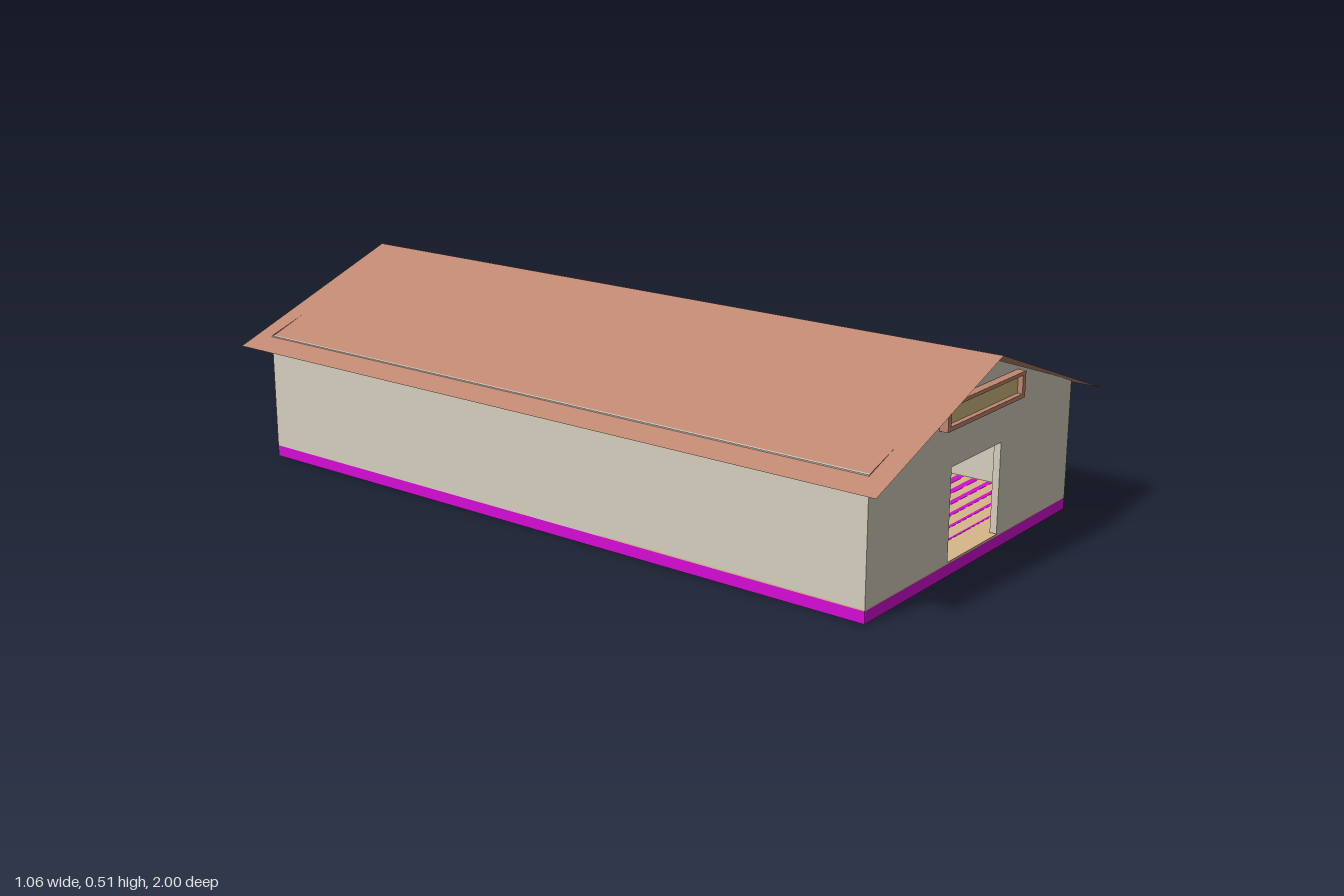
import * as THREE from 'three';

const material = (name, color, side = THREE.FrontSide) => {
  const m = new THREE.MeshStandardMaterial({ color, side });
  m.name = name;
  return m;
};

export function createModel() {
  const group = new THREE.Group();
  const cream = material('cream wall', 0xd6cfbf, THREE.DoubleSide);
  const brick = material('brick roof', 0xc08771, THREE.DoubleSide);
  const magenta = material('magenta base', 0xd60cd6);
  const tan = material('tan floor', 0xd8b78a);
  const yellow = material('yellow vent', 0xd2bf82);

  const add = (name, geometry, mat, x = 0, y = 0, z = 0) => {
    const mesh = new THREE.Mesh(geometry, mat);
    mesh.name = name;
    mesh.position.set(x, y, z);
    group.add(mesh);
    return mesh;
  };
  // Box given by its lower and upper corners
  const box = (name, mat, [x0, y0, z0], [x1, y1, z1]) =>
    add(name, new THREE.BoxGeometry(x1 - x0, y1 - y0, z1 - z0), mat,
      (x0 + x1) / 2, (y0 + y1) / 2, (z0 + z1) / 2);

  const W = 0.47, L = 0.945, baseTop = 0.03, eave = 0.34, ridge = 0.5;
  const doorW = 0.117, doorLow = 0.035, doorTop = 0.265;

  // Base slab, front floor and raised rear platform
  box('base', magenta, [-W, 0, -L], [W, baseTop, L]);
  box('floor', tan, [-W, baseTop, 0.2], [W, 0.033, L]);
  box('platform', magenta, [-0.45, baseTop, -0.94], [0.45, 0.13, 0.2]);
  box('platformTop', tan, [-0.45, 0.13, -0.94], [0.45, 0.136, 0.2]);

  // Floor strips, wider and closer together further from the door
  for (let i = 0; i < 9; i++) {
    const z = 0.87 - i * 0.042, half = 0.003 + i * 0.0015;
    box('floorStrip', magenta, [-0.45, 0.033, z - half], [0.45, 0.0335, z + half]);
  }

  // Side walls, whose tops just show through the roof
  for (const s of [-1, 1]) {
    add('sideWall', new THREE.BoxGeometry(0.015, eave - baseTop, 2 * L), cream,
      s * (W - 0.0075), (eave + baseTop) / 2, 0);
  }

  // Thin gable walls, the front one with a doorway
  const gable = (hasDoor) => {
    const shape = new THREE.Shape([[-W, baseTop], [W, baseTop], [W, eave], [0, ridge], [-W, eave]]
      .map(([x, y]) => new THREE.Vector2(x, y)));
    if (hasDoor) {
      shape.holes.push(new THREE.Path([[-doorW, doorLow], [-doorW, doorTop], [doorW, doorTop], [doorW, doorLow]]
        .map(([x, y]) => new THREE.Vector2(x, y))));
    }
    return new THREE.ShapeGeometry(shape);
  };
  add('frontGable', gable(true), cream, 0, 0, L);
  add('backGable', gable(false), cream, 0, 0, -L).rotation.y = Math.PI;

  // Doorway reveal
  for (const s of [-1, 1]) {
    add('doorJamb', new THREE.BoxGeometry(0.004, doorTop - doorLow, 0.018), cream,
      s * (doorW + 0.002), (doorTop + doorLow) / 2, L - 0.01);
  }
  box('doorLintel', cream, [-doorW, doorTop, L - 0.019], [doorW, doorTop + 0.004, L - 0.001]);

  // Roof: two single-surface slopes
  const roofHalf = 0.53, roofLow = 0.315, roofTop = 0.51;
  for (const s of [-1, 1]) {
    const run = Math.hypot(roofHalf, roofTop - roofLow);
    const slope = new THREE.PlaneGeometry(run, 2).rotateX(-Math.PI / 2);
    slope.rotateZ(-s * Math.atan2(roofTop - roofLow, roofHalf));
    add('roofSlope', slope, brick, s * roofHalf / 2, (roofTop + roofLow) / 2, 0);
  }

  // Vent above the door: raised frame and recessed panel
  const vx = 0.18, vy0 = 0.365, vy1 = 0.43, zf = L + 0.022;
  box('ventFrameTop', brick, [-vx, vy1 - 0.009, L], [vx, vy1, zf]);
  box('ventFrameBottom', brick, [-vx, vy0, L], [vx, vy0 + 0.011, zf]);
  box('ventFrameRight', brick, [-vx, vy0 + 0.011, L], [-vx + 0.014, vy1 - 0.009, zf]);
  box('ventFrameLeft', brick, [vx - 0.014, vy0 + 0.011, L], [vx, vy1 - 0.009, zf]);
  box('ventPanel', yellow, [-vx + 0.014, vy0 + 0.011, L], [vx - 0.014, vy1 - 0.009, L + 0.009]);

  return group;
}
